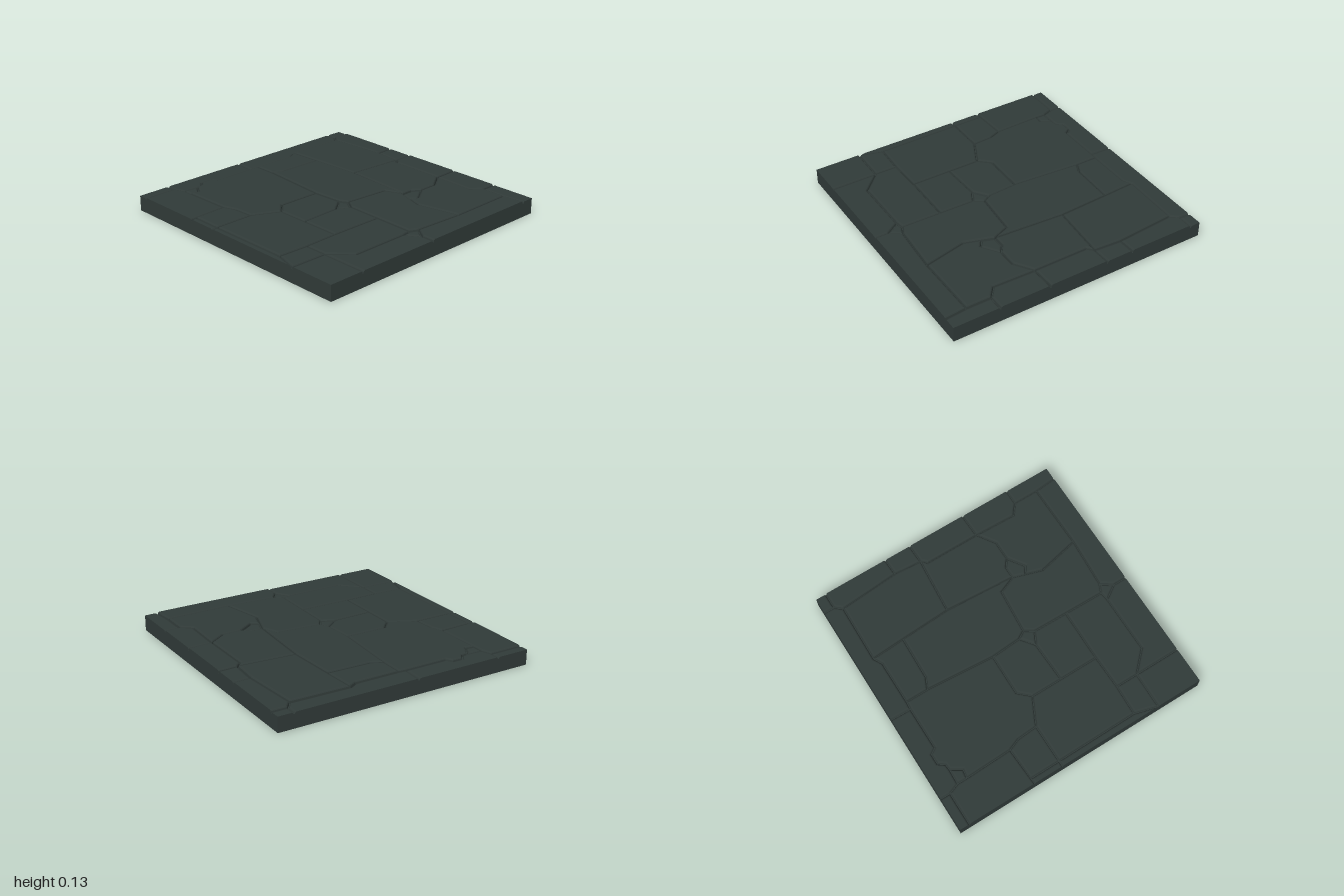
import * as THREE from 'three';

const EDGE = 1, BED = 0.1;

// Move every side of a counter-clockwise outline inwards; sides on the tile rim stay put.
function inset(pts, d) {
  const n = pts.length;
  const sides = pts.map((p, i) => {
    const q = pts[(i + 1) % n];
    const dir = q.clone().sub(p).normalize();
    const rim = ['x', 'y'].some(k => Math.abs(p[k]) >= EDGE && p[k] === q[k]);
    return { nx: -dir.y, ny: dir.x, d: rim ? 0 : d };
  });
  return pts.map((p, i) => {
    const a = sides[(i + n - 1) % n], b = sides[i];
    const det = a.nx * b.ny - a.ny * b.nx;
    if (Math.abs(det) < 0.15) {
      const m = Math.max(a.d, b.d);
      return new THREE.Vector2(p.x + b.nx * m, p.y + b.ny * m);
    }
    const off = new THREE.Vector2((a.d * b.ny - b.d * a.ny) / det, (a.nx * b.d - b.nx * a.d) / det);
    return p.clone().add(off.clampLength(0, d * 2.5));
  });
}

// Paving stone with worn, bevelled edges. Outline is x, z pairs seen from above.
function stoneGeometry(flat, top) {
  const outline = [];
  for (let i = 0; i < flat.length; i += 2) outline.push(new THREE.Vector2(flat[i], -flat[i + 1]));
  if (THREE.ShapeUtils.area(outline) < 0) outline.reverse();
  const rings = [[0.003, BED], [0.006, top - 0.008], [0.011, top - 0.002], [0.018, top]]
    .map(([d, y]) => inset(outline, d).map(p => [p.x, y, -p.y]));
  const pos = [], n = outline.length;
  const tri = (a, b, c) => pos.push(...a, ...b, ...c);
  for (let r = 0; r < rings.length - 1; r++) {
    for (let i = 0; i < n; i++) {
      const j = (i + 1) % n, lo = rings[r], hi = rings[r + 1];
      tri(lo[i], lo[j], hi[j]);
      tri(lo[i], hi[j], hi[i]);
    }
  }
  const cap = rings[rings.length - 1];
  const flatCap = cap.map(p => new THREE.Vector2(p[0], -p[2]));
  for (const [a, b, c] of THREE.ShapeUtils.triangulateShape(flatCap, [])) tri(cap[a], cap[b], cap[c]);
  const geo = new THREE.BufferGeometry();
  geo.setAttribute('position', new THREE.Float32BufferAttribute(pos, 3));
  geo.computeVertexNormals();
  return geo;
}

export function createModel() {
  const group = new THREE.Group();
  group.name = 'stoneFloorTile';
  const slate = new THREE.MeshStandardMaterial({ color: 0x303a38 });
  slate.name = 'dark slate';

  // Bed under the stones
  const bed = new THREE.Mesh(new THREE.BoxGeometry(2, BED, 2), slate);
  bed.name = 'slabBed';
  bed.position.y = BED / 2;
  group.add(bed);

  const stone = (name, top, outline) => {
    const mesh = new THREE.Mesh(stoneGeometry(outline, top), slate);
    mesh.name = name;
    group.add(mesh);
  };

  // Back row
  stone('backRightCornerStone', 0.114, [-1, -1, -0.745, -1, -0.745, -0.925, -1, -0.925]);
  stone('backLongStone', 0.115, [-0.745, -1, -0.075, -1, -0.08, -0.845, -0.41, -0.845, -0.44, -0.89,
    -0.52, -0.89, -0.555, -0.845, -0.6, -0.84, -0.715, -0.845, -0.745, -0.925]);
  stone('backMiddleStone', 0.115, [-0.075, -1, 0.88, -1, 0.88, -0.92, 0.835, -0.865, 0.385, -0.875,
    0.32, -0.84, -0.02, -0.84, -0.08, -0.845]);
  stone('backLeftCornerStone', 0.114, [0.88, -1, 1, -1, 1, -0.92, 0.88, -0.92]);

  // Stones along the -x side
  stone('rightUpperStone', 0.12, [-1, -0.925, -0.745, -0.925, -0.715, -0.845, -0.715, -0.77,
    -0.705, -0.41, -1, -0.395]);
  stone('rightSquareStone', 0.122, [-0.955, -0.4, -0.705, -0.41, -0.67, -0.32, -0.66, -0.165, -0.955, -0.165]);
  stone('rightShortStrip', 0.118, [-1, -0.395, -0.955, -0.4, -0.955, -0.165, -1, -0.165]);
  stone('rightLongStrip', 0.118, [-1, -0.165, -0.955, -0.165, -0.95, 0.47, -1, 0.645]);
  stone('rightBroadStone', 0.122, [-0.955, -0.165, -0.66, -0.165, -0.46, -0.065, -0.46, 0.175,
    -0.46, 0.475, -0.72, 0.48, -0.95, 0.47]);
  stone('rightLowerStone', 0.12, [-0.95, 0.47, -0.72, 0.48, -0.72, 0.65, -1, 0.645]);

  // Middle stones
  stone('largeBackStone', 0.124, [-0.715, -0.77, -0.65, -0.76, -0.6, -0.84, -0.555, -0.845, -0.52, -0.89,
    -0.44, -0.89, -0.41, -0.845, -0.08, -0.845, -0.02, -0.84, -0.02, -0.67, -0.06, -0.145,
    -0.38, -0.15, -0.46, -0.065, -0.66, -0.165, -0.67, -0.32, -0.705, -0.41]);
  stone('backChip', 0.117, [-0.715, -0.845, -0.6, -0.84, -0.65, -0.76, -0.715, -0.77]);
  stone('innerUpperStone', 0.122, [-0.46, -0.065, -0.38, -0.15, -0.06, -0.145, -0.045, 0.085,
    -0.15, 0.165, -0.46, 0.175]);
  stone('innerLowerStone', 0.123, [-0.46, 0.175, -0.15, 0.165, -0.055, 0.215, -0.06, 0.48, -0.46, 0.475]);
  stone('centreChip', 0.117, [-0.045, 0.085, -0.01, 0.145, -0.055, 0.215, -0.15, 0.165]);
  stone('shortBackStone', 0.126, [-0.02, -0.84, 0.32, -0.84, 0.385, -0.875, 0.4, -0.62, 0.065, -0.63,
    -0.02, -0.67]);
  stone('tallCentreStone', 0.129, [-0.02, -0.67, 0.065, -0.63, 0.4, -0.62, 0.42, -0.235, 0.385, 0.305,
    0.33, 0.175, -0.01, 0.145, -0.045, 0.085, -0.06, -0.145]);
  stone('frontCentreStone', 0.127, [-0.01, 0.145, 0.33, 0.175, 0.385, 0.305, 0.355, 0.395, 0.315, 0.52,
    0.385, 0.84, 0, 0.815, -0.065, 0.785, -0.06, 0.48, -0.055, 0.215]);

  // Stones along the +x side
  stone('leftBackStone', 0.127, [0.385, -0.875, 0.835, -0.865, 0.87, -0.41, 0.855, -0.2, 0.42, -0.235, 0.4, -0.62]);
  stone('leftMiddleStone', 0.128, [0.42, -0.235, 0.855, -0.2, 0.815, -0.16, 0.815, 0.26, 0.68, 0.35,
    0.535, 0.35, 0.475, 0.305, 0.385, 0.305]);
  stone('leftChip', 0.118, [0.385, 0.305, 0.475, 0.305, 0.535, 0.35, 0.41, 0.435, 0.355, 0.395]);
  stone('leftFrontStone', 0.126, [0.355, 0.395, 0.41, 0.435, 0.535, 0.35, 0.68, 0.35, 0.815, 0.26,
    0.805, 0.58, 0.885, 0.645, 0.885, 0.835, 0.385, 0.84, 0.315, 0.52]);
  stone('leftRimUpperStone', 0.123, [0.835, -0.865, 0.88, -0.92, 1, -0.92, 1, -0.415, 0.87, -0.41]);
  stone('leftRimSmallStone', 0.121, [0.87, -0.41, 1, -0.415, 1, -0.205, 0.855, -0.2]);
  stone('leftRimMiddleStone', 0.125, [0.855, -0.2, 1, -0.205, 1, 0.255, 0.815, 0.26, 0.815, -0.16]);
  stone('leftRimLowerStone', 0.122, [0.815, 0.26, 1, 0.255, 1, 0.645, 0.885, 0.645, 0.805, 0.58]);

  // Front row
  stone('frontLeftCornerStone', 0.118, [0.885, 0.645, 1, 0.645, 1, 1, 0.9, 1, 0.885, 0.835]);
  stone('frontInnerStone', 0.122, [-0.72, 0.48, -0.46, 0.475, -0.06, 0.48, -0.065, 0.785, -0.13, 0.795,
    -0.575, 0.795, -0.72, 0.65]);
  stone('frontChip', 0.116, [-0.13, 0.795, -0.065, 0.785, 0, 0.815, -0.06, 0.9]);
  stone('frontRightCornerStone', 0.118, [-1, 0.645, -0.72, 0.65, -0.72, 1, -1, 1]);
  stone('frontLongStone', 0.119, [-0.72, 0.65, -0.575, 0.795, -0.13, 0.795, -0.06, 0.9, -0.06, 1, -0.72, 1]);
  stone('frontMiddleStone', 0.125, [-0.06, 1, -0.06, 0.9, 0, 0.815, 0.385, 0.84, 0.885, 0.835, 0.9, 1]);

  return group;
}
